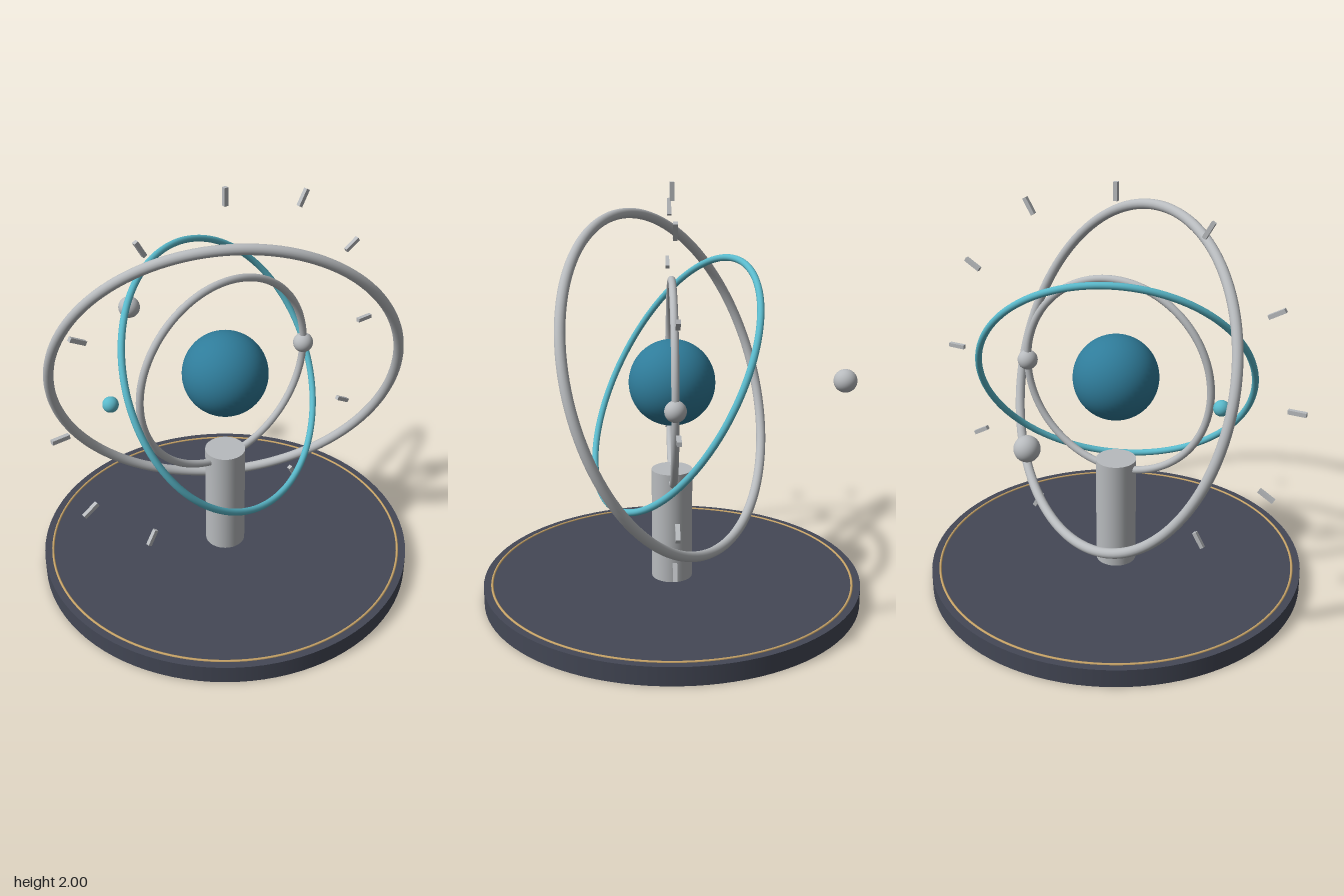
import * as THREE from 'three';

const paint = (name, color) => {
  const m = new THREE.MeshStandardMaterial({ color });
  m.name = name;
  return m;
};

export function createModel() {
  const slate = paint('slate', 0x444856);
  const gold = paint('gold', 0xc8a468);
  const silver = paint('silver', 0xb8bbbe);
  const blue = paint('deepBlue', 0x2f7c9a);
  const cyan = paint('cyan', 0x5ab9cb);

  const model = new THREE.Group();
  model.name = 'orrery';
  const add = (name, geometry, material, x = 0, y = 0, z = 0, parent = model) => {
    const mesh = new THREE.Mesh(geometry, material);
    mesh.name = name;
    mesh.position.set(x, y, z);
    parent.add(mesh);
    return mesh;
  };

  // Round base with a thin inlaid ring, and the post
  add('base', new THREE.CylinderGeometry(0.918, 0.918, 0.09, 96), slate, 0, 0.045, 0);
  add('baseTrim', new THREE.TorusGeometry(0.877, 0.006, 8, 128), gold, 0, 0.09, 0).rotation.x = Math.PI / 2;
  add('post', new THREE.CylinderGeometry(0.098, 0.098, 0.555, 48), silver, 0, 0.3625, 0);

  // Everything else is centred on the globe
  const system = new THREE.Group();
  system.name = 'orbitSystem';
  system.position.y = 1.07;
  model.add(system);
  const ball = (name, r, material, x, y, z) =>
    add(name, new THREE.SphereGeometry(r, 48, 32), material, x, y, z, system);
  const ring = (name, radius, tube, material, tiltX, tiltY) =>
    add(name, new THREE.TorusGeometry(radius, tube, 16, 128), material, 0, 0, 0, system)
      .rotation.set(tiltX, tiltY, 0);

  ball('globe', 0.204, blue, 0, 0, 0);

  // Tilted orbit rings
  ring('innerRing', 0.48, 0.018, silver, 0, 0);
  ring('middleRing', 0.65, 0.016, cyan, -0.55, 0.3);
  ring('outerRing', 0.82, 0.024, silver, 0.4, -0.5);

  // Small planets
  ball('innerPlanet', 0.049, silver, 0.48, 0, 0);
  ball('middlePlanet', 0.037, cyan, -0.571, 0, -0.1);
  ball('outerPlanet', 0.056, silver, 0, 0, -0.82);

  // Twelve radial tick marks
  const tick = new THREE.BoxGeometry(0.085, 0.02, 0.02);
  for (let i = 0; i < 12; i++) {
    const a = (i * Math.PI) / 6;
    add('tick' + (i + 1), tick, silver, 0.888 * Math.cos(a), 0.888 * Math.sin(a), 0, system).rotation.z = a;
  }
  return model;
}
